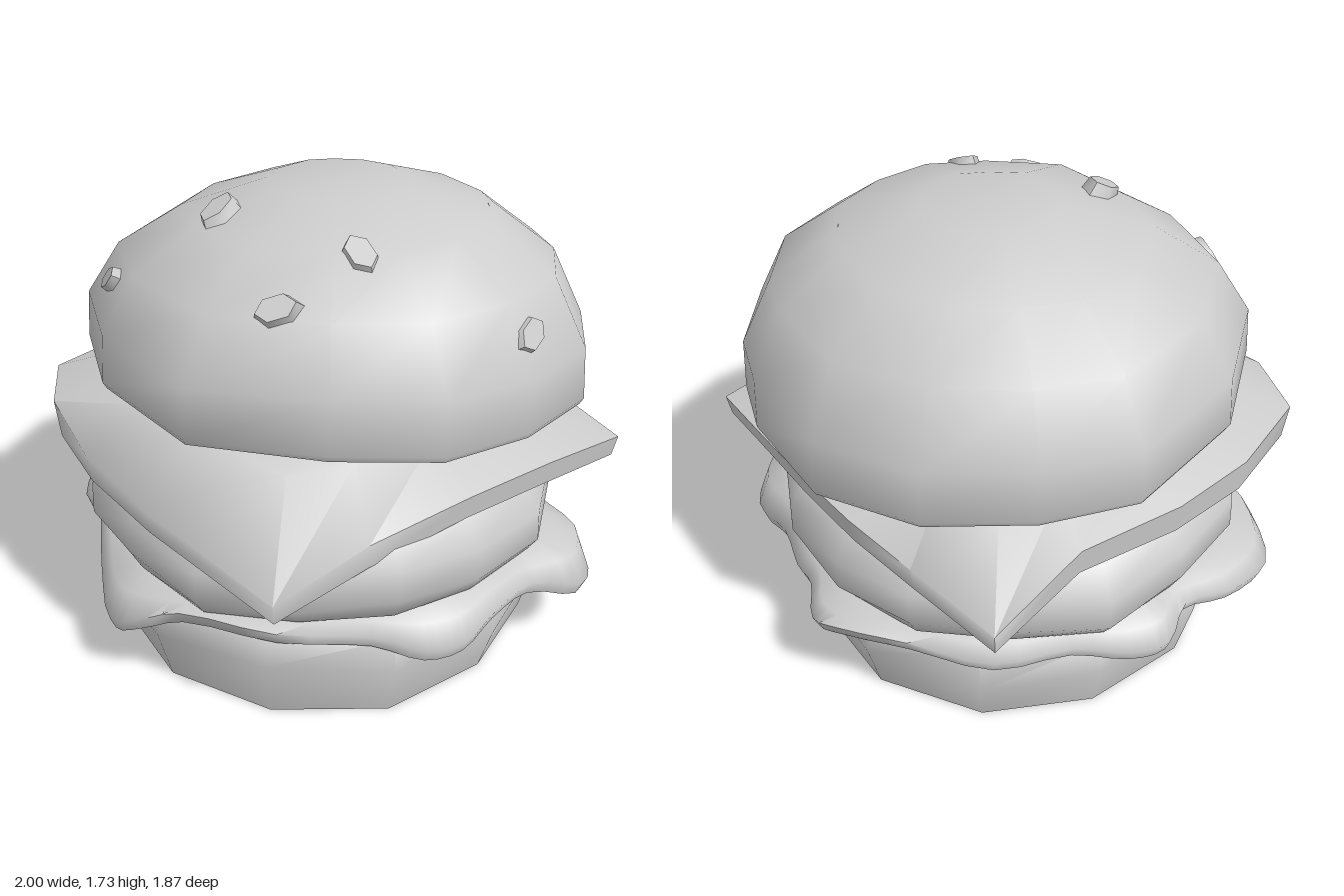
import * as THREE from 'three';
import { toCreasedNormals } from 'three/addons/utils/BufferGeometryUtils.js';

// Stacks scaled copies of an outline into a closed body.
// outline: [x, z, ...] entries running from +x towards -z; rows (bottom to top): [scale, height(x, z, entry)]
function layer(outline, rows, cx = 0, cz = 0, crease = 1) {
  const n = outline.length, pos = [], idx = [];
  for (const [f, h] of rows) {
    for (const p of outline) {
      const x = cx + (p[0] - cx) * f, z = cz + (p[1] - cz) * f;
      pos.push(x, h(x, z, p), z);
    }
  }
  for (let i = 0; i < rows.length - 1; i++) {
    for (let j = 0; j < n; j++) {
      const k = (j + 1) % n, a = i * n + j, b = i * n + k;
      idx.push(a, b, b + n, a, b + n, a + n);
    }
  }
  // caps around a centre point
  const capCentre = (row) => {
    let y = 0;
    for (let j = 0; j < n; j++) y += pos[(row * n + j) * 3 + 1] / n;
    pos.push(cx, y, cz);
    return pos.length / 3 - 1;
  };
  const last = rows.length - 1, low = capCentre(0), high = capCentre(last);
  for (let j = 0; j < n; j++) {
    const k = (j + 1) % n;
    idx.push(low, k, j, high, last * n + j, last * n + k);
  }
  const g = new THREE.BufferGeometry();
  g.setAttribute('position', new THREE.Float32BufferAttribute(pos, 3));
  g.setIndex(idx);
  return toCreasedNormals(g, crease);
}

const at = (y) => () => y;

// Outline from a list of radii at equal angles
const radial = (radii) => radii.map((r, i) => {
  const a = (i / radii.length) * Math.PI * 2;
  return [Math.cos(a) * r, -Math.sin(a) * r];
});

// Smooths a closed outline of [x, z, height] with a spline
function soften(outline, count) {
  const points = outline.map(([x, z, y]) => new THREE.Vector3(x, y, z));
  const curve = new THREE.CatmullRomCurve3(points, true);
  return curve.getPoints(count).slice(0, -1).map((p) => [p.x, p.z, p.y]);
}

export function createModel() {
  const group = new THREE.Group();
  const grey = new THREE.MeshStandardMaterial({ color: 0xcccccc });
  grey.name = 'light grey';
  const add = (name, geometry) => {
    const mesh = new THREE.Mesh(geometry, grey);
    mesh.name = name;
    group.add(mesh);
    return mesh;
  };

  // Bottom bun, flaring upwards from a flat base
  const lowerOutline = radial([0.86, 0.88, 0.88, 0.87, 0.88, 0.88, 0.87, 0.88, 0.88, 0.89, 0.87, 0.88]);
  const wobble = (x, z) => 0.22 + 0.03 * Math.cos(3 * Math.atan2(z, x));
  add('bottomBun', layer(lowerOutline, [
    [0.935, at(0.005)], [1, wobble], [0.97, at(0.35)], [0.85, at(0.4)],
  ]));

  // Lettuce: [x, z, edge height]
  const lettuce = [
    [0.9, 0, 0.27], [0.89, -0.18, 0.33], [0.93, -0.34, 0.32], [0.86, -0.48, 0.37], [0.66, -0.62, 0.35],
    [0.4, -0.8, 0.31], [0.12, -0.87, 0.34], [-0.09, -0.93, 0.29], [-0.24, -0.93, 0.28], [-0.36, -0.83, 0.34],
    [-0.56, -0.82, 0.32], [-0.79, -0.71, 0.28], [-0.9, -0.43, 0.27], [-0.87, -0.2, 0.35], [-0.91, 0.1, 0.28],
    [-0.92, 0.36, 0.22], [-0.84, 0.47, 0.28], [-0.7, 0.58, 0.36], [-0.4, 0.78, 0.35], [-0.08, 0.87, 0.33],
    [0.1, 0.93, 0.27], [0.25, 0.92, 0.27], [0.4, 0.84, 0.32], [0.58, 0.75, 0.33], [0.82, 0.7, 0.24],
    [0.94, 0.5, 0.2], [0.89, 0.25, 0.24],
  ];
  add('lettuce', layer(soften(lettuce, 81), [
    [0.84, at(0.37)], [0.98, (x, z, p) => p[2]], [1, (x, z, p) => p[2] + 0.05],
    [0.95, (x, z, p) => 0.36 + p[2] * 0.18], [0.8, at(0.45)],
  ], 0, 0, 1.4));

  // Patty with a lumpy rounded side
  const patty = radial([0.9, 0.89, 0.92, 0.89, 0.91, 0.88, 0.91, 0.9, 0.91, 0.89, 0.92, 0.88, 0.9, 0.88, 0.91, 0.9]);
  const lump = (y, s) => (x, z) => y + s * Math.sin(5 * Math.atan2(z, x));
  add('patty', layer(patty, [
    [0.8, at(0.4)], [0.95, lump(0.435, 0.012)], [1, lump(0.51, 0.025)],
    [0.995, lump(0.63, 0.025)], [0.92, at(0.725)], [0.8, at(0.77)],
  ]));

  // Cheese slice with drooping corners: [x, z, lower edge, upper edge]
  const cheese = [
    [0.93, 0.2, 0.75, 0.83], [0.86, -0.1, 0.75, 0.84], [0.77, -0.4, 0.74, 0.84], [0.64, -0.66, 0.69, 0.79],
    [0.45, -0.94, 0.57, 0.66], [0.1, -0.86, 0.74, 0.85], [-0.3, -0.82, 0.76, 0.88], [-0.62, -0.72, 0.77, 0.9],
    [-0.95, -0.5, 0.76, 0.9], [-1, -0.2, 0.75, 0.9], [-0.93, 0.15, 0.74, 0.85], [-0.78, 0.5, 0.71, 0.8],
    [-0.45, 0.93, 0.56, 0.64], [-0.1, 0.87, 0.67, 0.77], [0.3, 0.78, 0.74, 0.83], [0.65, 0.67, 0.75, 0.84],
    [1, 0.53, 0.73, 0.81],
  ];
  add('cheese', layer(cheese, [
    [0.8, at(0.75)], [0.985, (x, z, p) => p[2]], [1, (x, z, p) => p[3]],
    [0.74, (x) => 0.955 - 0.06 * x], [0.5, (x) => 1.015 - 0.06 * x],
  ], 0, 0, 1.2));

  // Top bun: a coarse dome tipped slightly to one side
  const dome = [
    [0.97, 0.02], [0.88, -0.39], [0.61, -0.69], [0.25, -0.85], [-0.1, -0.9], [-0.55, -0.69], [-0.83, -0.34],
    [-0.84, 0.1], [-0.65, 0.58], [-0.22, 0.8], [0.15, 0.89], [0.5, 0.79], [0.8, 0.59], [0.95, 0.27],
  ];
  const tilt = (y, s) => (x, z) => y - s * x + 0.025 * z;
  add('topBun', layer(dome, [
    [0.985, tilt(1.035, 0.05)], [1, tilt(1.06, 0.05)], [0.985, tilt(1.25, 0.04)], [0.85, tilt(1.475, 0.01)],
    [0.6, tilt(1.635, -0.01)], [0.27, at(1.735)],
  ], 0.07, 0));

  // Sesame seeds, half sunk in the crust: [x, y, z, turn, size]
  const seedShape = new THREE.CylinderGeometry(0.042, 0.056, 0.07, 6).scale(1, 1, 1.5);
  const seedGeometry = toCreasedNormals(seedShape, 1.1);
  const up = new THREE.Vector3(0, 1, 0);
  [
    [-0.74, 1.4, -0.1, 0.4, 1], [-0.38, 1.665, 0.05, -0.9, 1.25], [-0.32, 1.515, 0.575, 1.4, 1.1],
    [-0.02, 1.63, 0.49, 0.2, 1.15], [0.575, 1.595, 0.22, -0.2, 1.25], [0.5, 1.365, 0.68, -0.7, 1.15],
  ].forEach(([x, y, z, turn, size], i) => {
    const seed = add('sesameSeed' + (i + 1), seedGeometry);
    const normal = new THREE.Vector3(x - 0.07, (y - 1.1) * 1.6, z).normalize();
    seed.position.set(x, y, z);
    seed.quaternion.setFromUnitVectors(up, normal);
    seed.rotateY(turn);
    seed.scale.set(size, 1, size);
  });

  return group;
}
